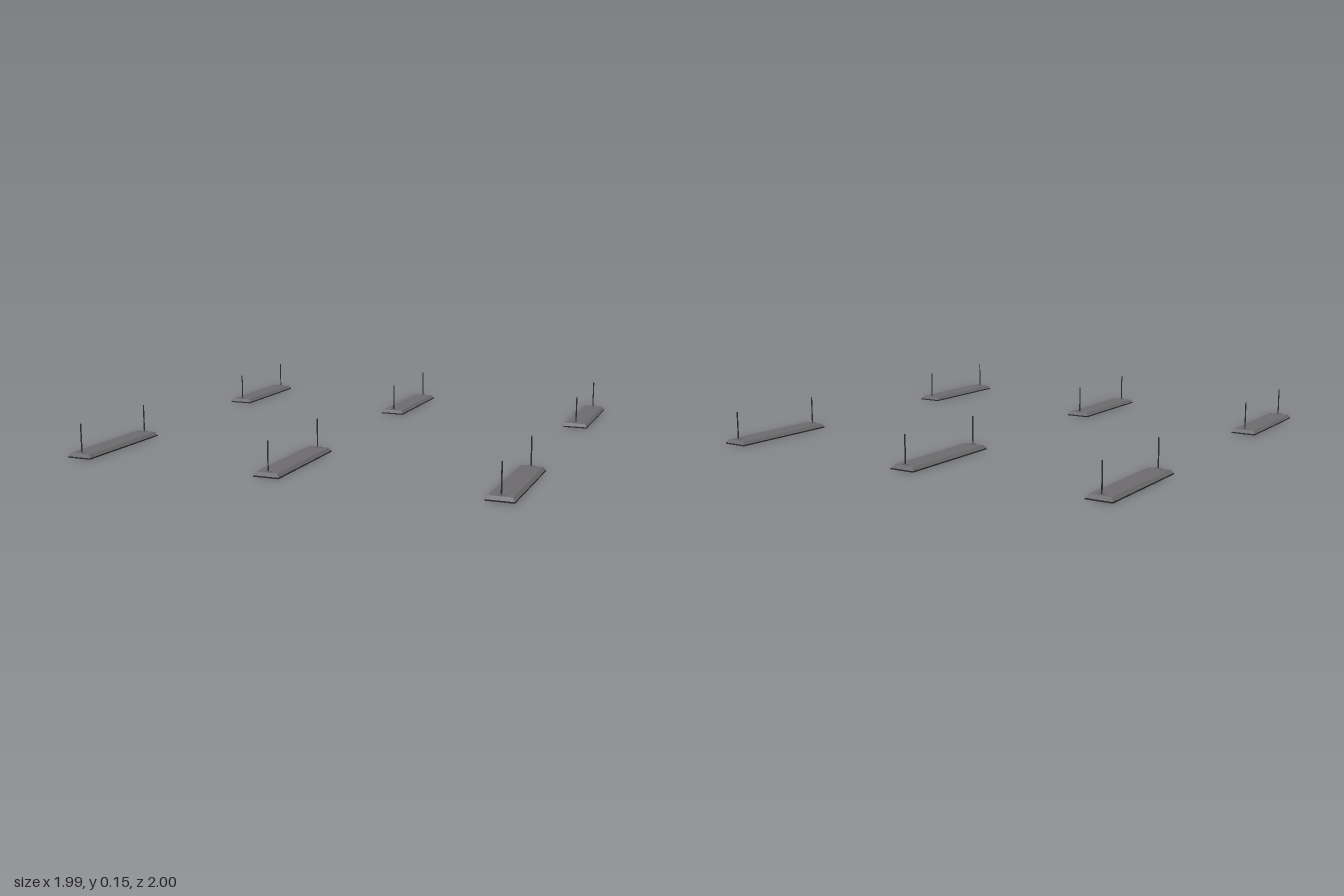
import * as THREE from 'three';

const paint = (color) => new THREE.MeshStandardMaterial({ color, flatShading: true });
const housingMat = paint(0x6c6a6c);
const darkMat = paint(0x2a2b2d);
const tubeMat = paint(0xcccccc);

// Skin joining rectangular rings [half width, half length, y], from outside top to inside
function ringSkin(rings) {
  const corners = [[1, 1], [1, -1], [-1, -1], [-1, 1]];
  const pos = [];
  const at = ([w, l, y], [sx, sz]) => [sx * w, y, sz * l];
  for (let r = 0; r < rings.length - 1; r++) {
    for (let i = 0; i < 4; i++) {
      const p = corners[i], q = corners[(i + 1) % 4];
      const a = at(rings[r], p), b = at(rings[r + 1], p);
      const c = at(rings[r + 1], q), d = at(rings[r], q);
      if (rings[r + 1][0] > 0) pos.push(...a, ...b, ...c);
      if (rings[r][0] > 0) pos.push(...a, ...c, ...d);
    }
  }
  const geo = new THREE.BufferGeometry();
  geo.setAttribute('position', new THREE.Float32BufferAttribute(pos, 3));
  geo.computeVertexNormals();
  return geo;
}

const housingGeo = ringSkin([[0, 0, 0.02], [0.047, 0.256, 0.02], [0.0575, 0.2665, 0.006]]);
const rimGeo = ringSkin([
  [0.0575, 0.2665, 0.006], [0.0575, 0.2665, 0], [0.053, 0.262, 0],
  [0.044, 0.253, 0.014], [0, 0, 0.014],
]);
const tubeGeo = new THREE.CylinderGeometry(0.005, 0.005, 0.49, 10).rotateX(Math.PI / 2);
const holderGeo = new THREE.BoxGeometry(0.016, 0.012, 0.008);
const rodGeo = new THREE.CylinderGeometry(0.003, 0.003, 0.13, 8);
const plateGeo = new THREE.BoxGeometry(0.03, 0.004, 0.008);

function add(group, name, geo, mat, x = 0, y = 0, z = 0) {
  const mesh = new THREE.Mesh(geo, mat);
  mesh.name = name;
  mesh.position.set(x, y, z);
  group.add(mesh);
}

function createLamp() {
  const lamp = new THREE.Group();
  lamp.name = 'pendantLamp';
  add(lamp, 'housing', housingGeo, housingMat);
  add(lamp, 'rimAndReflector', rimGeo, darkMat);
  add(lamp, 'lightTube', tubeGeo, tubeMat, 0, 0.008, 0);
  for (const s of [-1, 1]) {
    add(lamp, 'tubeHolder', holderGeo, darkMat, 0, 0.008, s * 0.247);
    add(lamp, 'mountingPlate', plateGeo, housingMat, 0, 0.022, s * 0.242);
    add(lamp, 'hangingRod', rodGeo, darkMat, 0, 0.085, s * 0.242);
  }
  return lamp;
}

export function createModel() {
  const model = new THREE.Group();
  model.name = 'hangingLamps';
  // Two rows of three lamps
  for (const x of [-0.9375, -0.03, 0.9375]) {
    for (const z of [-0.7335, 0.7335]) {
      const lamp = createLamp();
      lamp.position.set(x, 0, z);
      model.add(lamp);
    }
  }
  return model;
}
